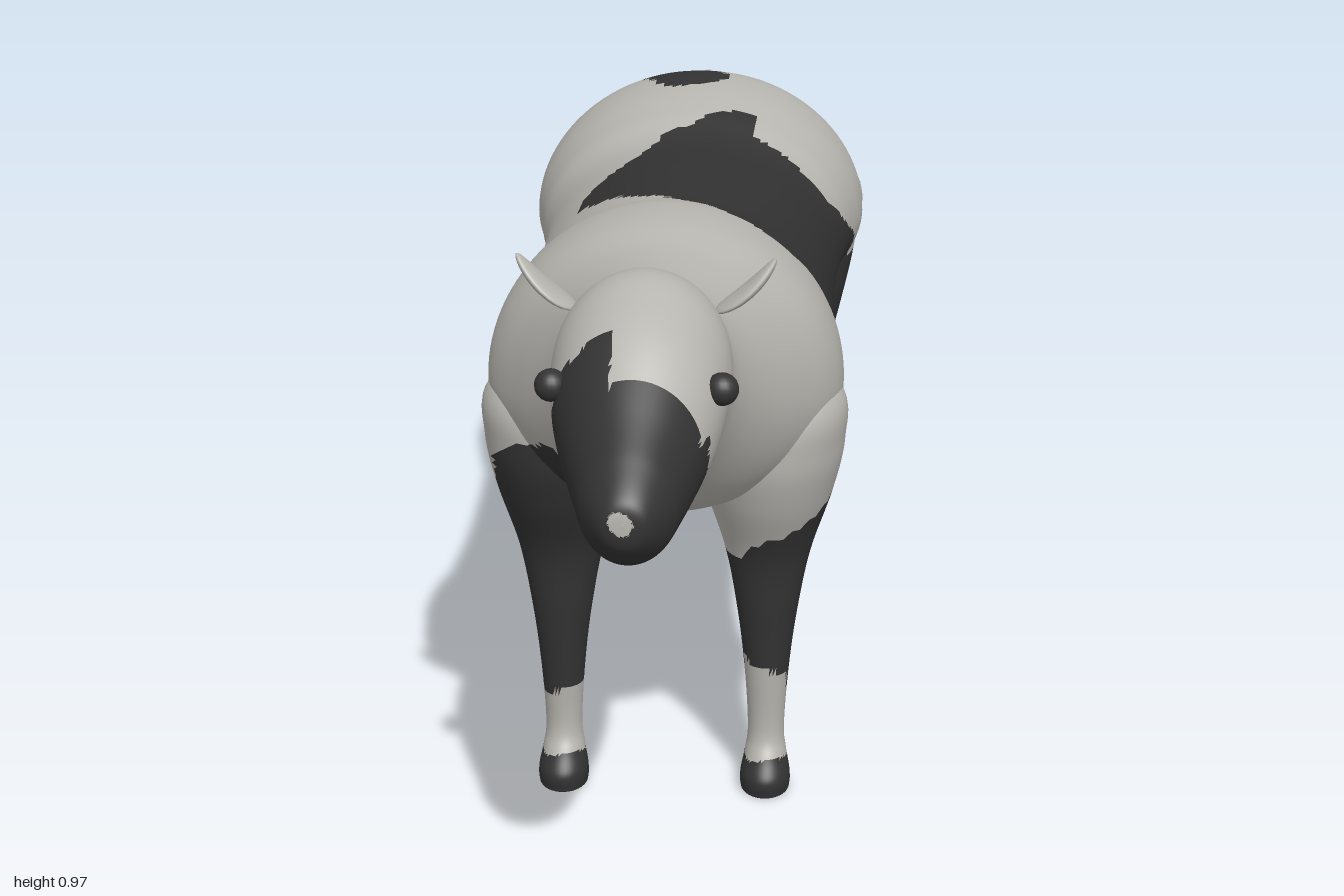
import * as THREE from 'three';
import { mergeVertices } from 'three/addons/utils/BufferGeometryUtils.js';

const hide = new THREE.MeshStandardMaterial({ color: 0xb8b6b0 });
hide.name = 'pale grey hide';
const patch = new THREE.MeshStandardMaterial({ color: 0x333333 });
patch.name = 'dark patches';
const { smoothstep, lerp, clamp } = THREE.MathUtils;

// Trunk and head sections: z, top, bottom, half width
const BODY = [
  [1, 0.745, 0.745, 0], [0.993, 0.775, 0.708, 0.032], [0.95, 0.812, 0.67, 0.06], [0.9, 0.848, 0.661, 0.076],
  [0.8, 0.922, 0.674, 0.108], [0.72, 0.956, 0.69, 0.12], [0.66, 0.966, 0.694, 0.12], [0.6, 0.952, 0.675, 0.115],
  [0.55, 0.925, 0.64, 0.115], [0.5, 0.916, 0.6, 0.135], [0.4, 0.914, 0.51, 0.205], [0.3, 0.925, 0.475, 0.257],
  [0.2, 0.92, 0.452, 0.265], [0.1, 0.895, 0.45, 0.251], [-0.05, 0.875, 0.455, 0.244], [-0.2, 0.858, 0.473, 0.243],
  [-0.4, 0.838, 0.492, 0.25], [-0.5, 0.862, 0.495, 0.266], [-0.6, 0.88, 0.48, 0.283], [-0.7, 0.88, 0.462, 0.281],
  [-0.8, 0.85, 0.5, 0.243], [-0.85, 0.815, 0.55, 0.2], [-0.89, 0.765, 0.615, 0.13], [-0.905, 0.7, 0.7, 0],
];

// Limb sections: y, half width in x, centre z, half depth in z
const foot = (ankle, toe) => [[0.06, 0.032, ankle, 0.04], [0.03, 0.038, toe, 0.048],
  [0.008, 0.038, toe, 0.047], [0, 0.032, toe, 0.04], [0, 0, toe, 0]];
const FRONT_LEG = [
  [0.74, 0, 0.27, 0], [0.66, 0.105, 0.27, 0.11], [0.58, 0.113, 0.265, 0.13], [0.5, 0.097, 0.262, 0.113],
  [0.4, 0.065, 0.268, 0.064], [0.3, 0.046, 0.272, 0.048], [0.2, 0.034, 0.273, 0.038], [0.1, 0.028, 0.272, 0.031],
  ...foot(0.277, 0.288),
];
const HIND_LEG = [
  [0.79, 0, -0.66, 0], [0.7, 0.118, -0.66, 0.17], [0.6, 0.117, -0.66, 0.19], [0.5, 0.095, -0.613, 0.152],
  [0.4, 0.07, -0.62, 0.13], [0.3, 0.048, -0.725, 0.085], [0.25, 0.04, -0.763, 0.062],
  [0.2, 0.034, -0.757, 0.043], [0.1, 0.028, -0.713, 0.035], ...foot(-0.688, -0.676),
];
const TAIL = [
  [0.836, 0, -0.865, 0], [0.825, 0.013, -0.865, 0.021], [0.72, 0.013, -0.905, 0.016], [0.55, 0.012, -0.941, 0.012],
  [0.36, 0.011, -0.962, 0.01], [0.3, 0.02, -0.967, 0.016], [0.24, 0.027, -0.97, 0.023], [0.168, 0, -0.972, 0],
];

// Saddle patch outline from above [x, z] and from its wide side [z, y]
const SADDLE_TOP = [[0.07, -0.52], [-0.05, -0.44], [-0.165, -0.155], [-0.16, -0.07], [-0.05, 0.05],
  [0.085, 0.2], [0.4, 0.26], [0.4, -0.55]];
const SADDLE_SIDE = [[0.225, 1], [0.22, 0.85], [0.155, 0.77], [0.16, 0.71], [0.1, 0.6], [0, 0.58],
  [-0.09, 0.51], [-0.18, 0.4], [-0.56, 0.4], [-0.52, 0.65], [-0.42, 0.73], [-0.42, 0.77], [-0.48, 0.87], [-0.5, 1]];

function inside(poly, u, v) {
  let hit = false;
  poly.forEach(([a, b], i) => {
    const [c, d] = poly[(i + 1) % poly.length];
    if ((b > v) !== (d > v) && u < a + ((c - a) * (v - b)) / (d - b)) hit = !hit;
  });
  return hit;
}

// Long rounded spot around the segment from (a, b) to (c, d)
function inSpot(u, v, a, b, c, d, radius) {
  const t = clamp(((u - a) * (c - a) + (v - b) * (d - b)) / ((c - a) ** 2 + (d - b) ** 2), 0, 1);
  return Math.hypot(u - lerp(a, c, t), v - lerp(b, d, t)) < radius;
}

const darkChest = (x, y) => x > -0.25 && x < -0.075 && y < 0.615 - 6 * (x + 0.16) ** 2;

// Tells whether a point of the trunk or head lies in a dark patch
function darkBody(x, y, z) {
  if (z > 0.65) {
    if (z > 0.97 && Math.hypot(x + 0.004, y - 0.75) < 0.016) return false;
    const edge = x < -0.03 ? 0.785 : y > 0.8 ? 0.855 : 0.83;
    return z > edge || (y < 0.715 && z > 0.7);
  }
  if (z > 0.24) return darkChest(x, y);
  if (inside(SADDLE_TOP, x, z) && (x < 0.1 ? y > 0.7 : inside(SADDLE_SIDE, z, y))) return true;
  // Thigh on the left, flank streak on the right, seat and rump spot
  if (x > 0.02 && z < -0.45 && y < Math.max(0.7 + 0.77 * (z + 0.45), 0.47)) return true;
  if (x < 0 && inSpot(z, y, -0.26, 0.65, -0.52, 0.46, 0.036)) return true;
  if (x <= 0.02 && z < -0.48 && y < 0.525) return true;
  return y > 0.62 && inSpot(x, z, -0.125, -0.9, -0.02, -0.67, 0.065);
}
function darkFrontLeg(x, y, z) {
  if (y < 0.057) return true;
  if (x > 0) return y > (z > 0.28 ? 0.29 - 0.5 * x : 0.17) && y < Math.min(0.49, 0.34 + 0.6 * x);
  return y > 0.215 + 0.3 * x && (y < 0.47 || (z > 0.24 && darkChest(x, y)));
}
function darkHindLeg(x, y, z) {
  if (y < 0.055) return true;
  if (y < 0.47) return y > (x > 0.14 ? 0.235 : x > 0 ? 0.16 : 0.13);
  return darkBody(x, y, z);
}
const darkTail = (x, y, z) => y < (z < -0.95 ? 0.41 : 0.51);

// Catmull-Rom blend of neighbouring sections
function sectionAt(rows, t) {
  const i = Math.min(Math.floor(t), rows.length - 2), f = t - i;
  const row = (k) => rows[clamp(k, 0, rows.length - 1)];
  return row(i).map((b, k) => {
    const a = row(i - 1)[k], c = row(i + 1)[k], d = row(i + 2)[k];
    return b + 0.5 * f * (c - a + f * (2 * a - 5 * b + 4 * c - d + f * (3 * (b - c) + d - a)));
  });
}

// Skins rings through the sections and sorts the faces into pale and dark groups
function loft(name, rows, steps, sides, point, isDark) {
  const pos = [], index = [], rings = (rows.length - 1) * steps;
  for (let i = 0; i <= rings; i++) {
    const s = sectionAt(rows, i / steps);
    for (let j = 0; j < sides; j++) pos.push(...point(s, (j / sides) * Math.PI * 2));
  }
  for (let i = 0; i < rings; i++) {
    for (let j = 0; j < sides; j++) {
      const a = i * sides + j, b = i * sides + ((j + 1) % sides);
      index.push(a, a + sides, b, b, a + sides, b + sides);
    }
  }
  let geo = new THREE.BufferGeometry();
  geo.setAttribute('position', new THREE.Float32BufferAttribute(pos, 3));
  geo.setIndex(index);
  geo = mergeVertices(geo, 1e-5);
  geo.computeVertexNormals();
  const p = geo.attributes.position, idx = geo.index.array, pale = [], dark = [];
  for (let i = 0; i < idx.length; i += 3) {
    const [a, b, c] = [idx[i], idx[i + 1], idx[i + 2]];
    if (a === b || b === c || a === c) continue;
    const x = (p.getX(a) + p.getX(b) + p.getX(c)) / 3;
    const y = (p.getY(a) + p.getY(b) + p.getY(c)) / 3;
    const z = (p.getZ(a) + p.getZ(b) + p.getZ(c)) / 3;
    // Slight waver along the patch edges
    const w = 0.005 * Math.sin(70 * z + 40 * x), v = 0.005 * Math.sin(80 * y + 50 * x);
    (isDark(x, y + w, z + v) ? dark : pale).push(a, b, c);
  }
  geo.setIndex([...pale, ...dark]);
  geo.addGroup(0, pale.length, 0);
  geo.addGroup(pale.length, dark.length, 1);
  const mesh = new THREE.Mesh(geo, [hide, patch]);
  mesh.name = name;
  return mesh;
}

const limbPoint = (cx) => ([y, rx, cz, rz], a) =>
  [cx + Math.max(rx, 0) * Math.cos(a), Math.max(y, 0), cz - Math.max(rz, 0) * Math.sin(a)];

function bodyPoint([z, top, bottom, width], a) {
  const x = Math.max(width, 0) * Math.cos(a), s = Math.sin(a);
  const mid = lerp(bottom, top, lerp(0.43, 0.52, smoothstep(z, 0.35, 0.7)));
  const y = mid + s * (s > 0 ? top - mid : mid - bottom);
  // Groove between the two halves of the rump
  const groove = 0.055 * Math.exp(-((x / 0.06) ** 2)) * smoothstep(-z, 0.7, 0.88);
  return [x, y, z + groove];
}

export function createModel() {
  const cow = new THREE.Group();
  cow.name = 'cow';
  cow.add(loft('body', BODY, 10, 112, bodyPoint, darkBody));
  cow.add(loft('tail', TAIL, 8, 14, limbPoint(0), darkTail));
  for (const side of [1, -1]) {
    const label = side > 0 ? 'left' : 'right';
    cow.add(loft(label + 'FrontLeg', FRONT_LEG, 7, 40, limbPoint(side * 0.157), darkFrontLeg));
    cow.add(loft(label + 'HindLeg', HIND_LEG, 7, 40, limbPoint(side * 0.158), darkHindLeg));

    // Eye
    const eye = new THREE.Mesh(new THREE.SphereGeometry(0.022, 20, 14), patch);
    eye.name = label + 'Eye';
    eye.position.set(side * 0.112, 0.85, 0.785);
    cow.add(eye);

    // Leaf-shaped ear, narrowing and curling up to the tip
    const leaf = new THREE.SphereGeometry(1, 24, 16);
    const p = leaf.attributes.position;
    for (let i = 0; i < p.count; i++) {
      const x = p.getX(i), u = side * x;
      p.setXYZ(i, x * 0.056, p.getY(i) * 0.009 + 0.008 * (u * u - 0.5), p.getZ(i) * 0.03 * (1 - 0.35 * u));
    }
    leaf.computeVertexNormals();
    const ear = new THREE.Mesh(leaf, hide);
    ear.name = label + 'Ear';
    ear.position.set(side * 0.137, 0.933, 0.617);
    ear.rotation.z = side * 0.75;
    cow.add(ear);
  }
  return cow;
}
